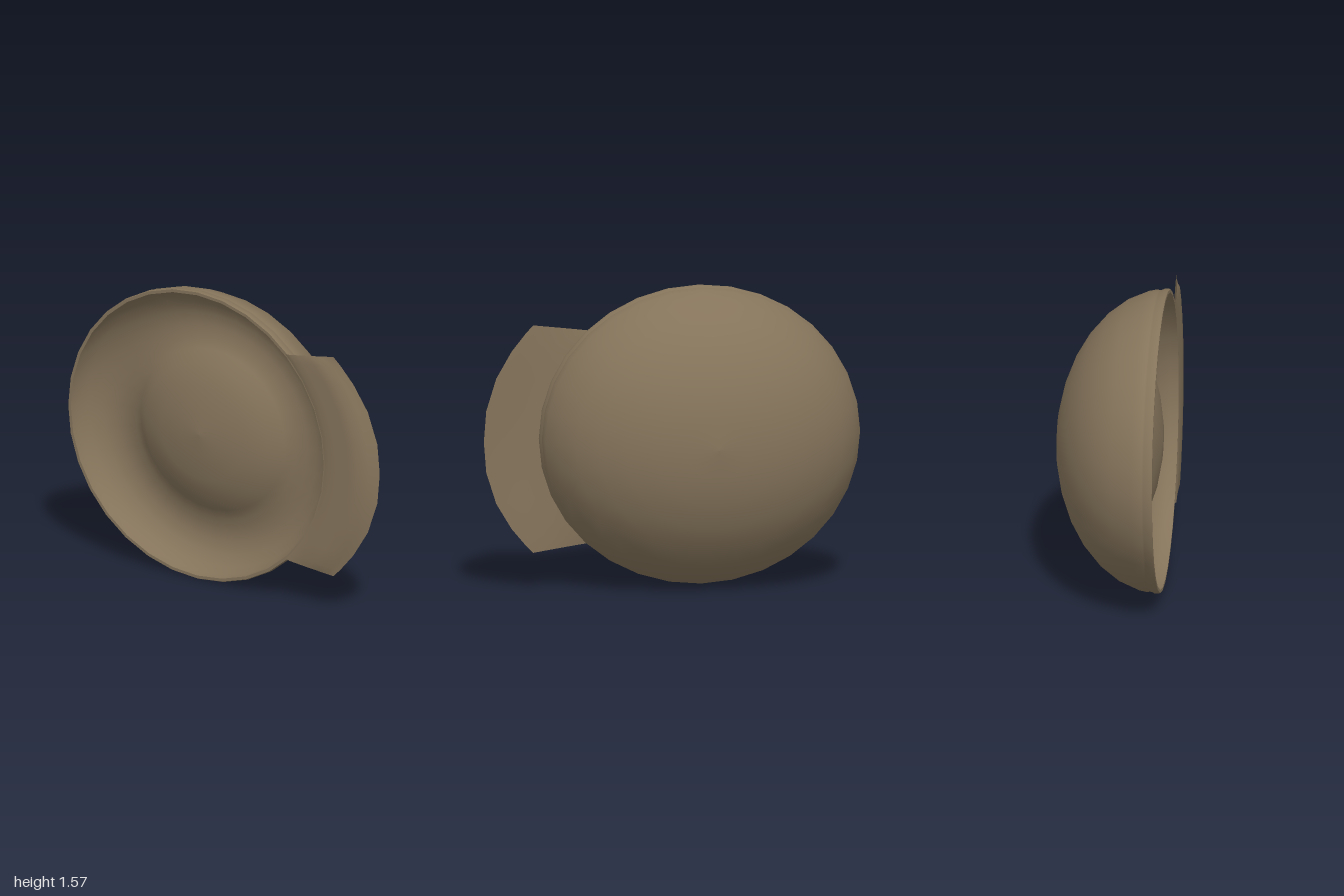
import * as THREE from 'three';

const CY = 0.787, CZ = -0.15, RY = 0.787, RZ = 0.85, RIM_X = -0.28;

// Lathe with unit radius, laid on its side (axis +x) and stretched to an oval
function ovalLathe(profile) {
  const g = new THREE.LatheGeometry(profile.map(([r, x]) => new THREE.Vector2(r, x)), 32);
  g.rotateZ(-Math.PI / 2);
  g.scale(1, RY, RZ);
  g.translate(0, CY, CZ);
  return g;
}

// Smooth sheet through the points at(s, t), s across the brim and t outwards
function sheet(at, ss, ts, flip) {
  const pos = [], idx = [], n = ts.length;
  for (const s of ss) {
    for (const t of ts) pos.push(...at(s, t));
  }
  for (let i = 0; i < ss.length - 1; i++) {
    for (let j = 0; j < n - 1; j++) {
      const a = i * n + j, b = a + n, c = a + 1, d = b + 1;
      if (flip) idx.push(a, c, b, b, c, d);
      else idx.push(a, b, c, b, d, c);
    }
  }
  const g = new THREE.BufferGeometry();
  g.setAttribute('position', new THREE.Float32BufferAttribute(pos, 3));
  g.setIndex(idx);
  g.computeVertexNormals();
  return g;
}

export function createModel() {
  const group = new THREE.Group();
  const felt = new THREE.MeshStandardMaterial({ color: 0x85745b });
  const add = (name, geometry) => {
    const mesh = new THREE.Mesh(geometry, felt);
    mesh.name = name;
    group.add(mesh);
  };

  // Crown: rim band, shallow seam, then a half ellipsoid
  const crown = [[0.995, RIM_X], [1, -0.272], [0.998, -0.25], [0.989, -0.235], [0.988, -0.225], [0.992, -0.212]];
  for (let i = 1; i <= 8; i++) {
    const a = (i * Math.PI) / 16;
    crown.push([i === 8 ? 0 : Math.cos(a), RIM_X + 0.566 * Math.sin(a)]);
  }
  add('crown', ovalLathe(crown));

  // Lining: a rounded hollow around a low padded mound
  const lining = [
    [0, 0.01], [0.15, 0.018], [0.32, 0.042], [0.47, 0.08], [0.555, 0.132], [0.62, 0.155],
    [0.7, 0.168], [0.78, 0.165], [0.86, 0.142], [0.93, 0.095], [0.965, 0.045], [0.975, 0],
  ];
  add('lining', ovalLathe(lining.map(([r, d]) => [r, RIM_X + d])));

  // Rim edge: flat ring between crown and lining
  add('rimEdge', ovalLathe([[0.975, RIM_X], [0.995, RIM_X]]));

  // Brim: from an arc on the rim out to a curved front edge that lifts in the middle
  const plan = (s, t) => {
    const inV = 0.56 * s, outV = 0.6 * s;
    const inZ = CZ + 0.835 * Math.sqrt(1 - (inV / 0.775) ** 2);
    const outZ = 1 - 0.27 * Math.abs(s) ** 2.3;
    return [CY + inV + (outV - inV) * t, inZ + (outZ - inZ) * t];
  };
  const BASE = -0.287;
  const lift = (s) => 0.067 * (1 - 0.65 * s * s);
  const top = (s, t) => {
    const [y, z] = plan(s, t);
    const thick = 0.018 * (1 - s ** 10) * (1 - t);
    return [BASE + thick + lift(s) * t ** 1.6, y, z];
  };
  const bottom = (s, t) => {
    const [y, z] = plan(s, t);
    const inner = 0.007 * Math.max(0, 1 - t / 0.1);
    const bend = lift(s) * Math.max(0, (t - 0.7) / 0.3);
    const x = Math.abs(s) === 1 ? top(s, t)[0] : Math.min(BASE + bend, top(s, t)[0]);
    return [x + inner, y, z];
  };
  const half = [0.27, 0.55, 0.78, 0.93, 1];
  const across = [...half.map((s) => -s).reverse(), 0, ...half];
  add('brimTop', sheet(top, across, [0, 0.25, 0.5, 0.7, 0.85, 1], false));
  add('brimUnderside', sheet(bottom, across, [0, 0.1, 0.25, 0.5, 0.7, 0.85, 1], true));

  return group;
}
